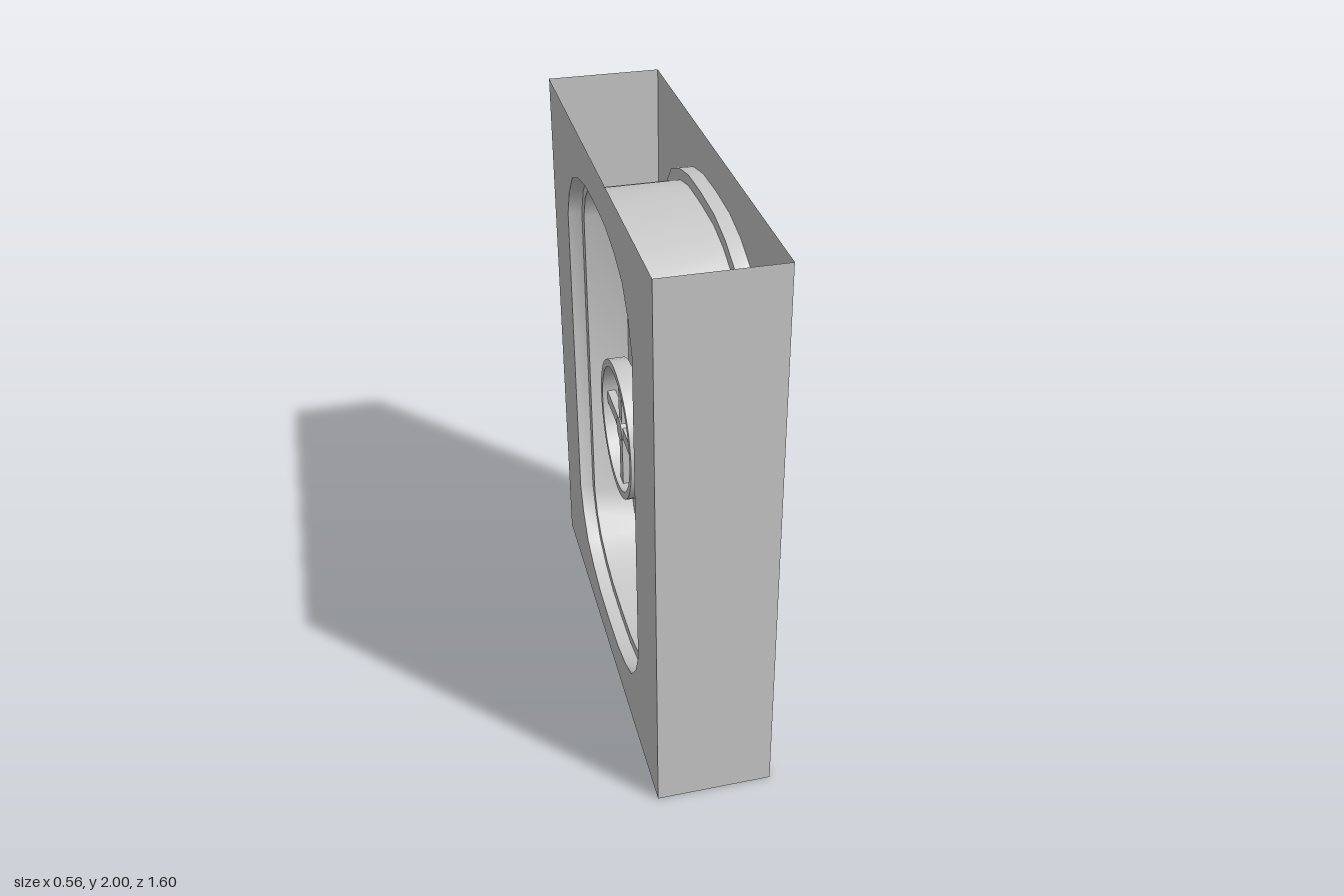
import * as THREE from 'three';
import { toCreasedNormals } from 'three/addons/utils/BufferGeometryUtils.js';

const solid = new THREE.MeshStandardMaterial({ color: 0xcccccc });
const sheet = new THREE.MeshStandardMaterial({ color: 0xcccccc, side: THREE.DoubleSide });

// Quarter outlines (half width, height above the middle), mirrored into closed loops
const OUTER = [[0.52, 0.6], [0.475, 0.7], [0.4, 0.785], [0.29, 0.832], [0.16, 0.86], [0, 0.866]];
const INNER = [[0.48, 0.6], [0.44, 0.69], [0.375, 0.752], [0.27, 0.797], [0.16, 0.822], [0, 0.827]];

function outline(quarter) {
  const half = [...quarter, ...quarter.slice(0, -1).reverse().map(([u, v]) => [-u, v])];
  return [...half, ...half.map(([u, v]) => [-u, -v])].map(([u, v]) => new THREE.Vector2(u, v + 1));
}

function add(parent, name, geometry, material = solid, x = 0, y = 0, z = 0) {
  const mesh = new THREE.Mesh(geometry, material);
  mesh.name = name;
  mesh.position.set(x, y, z);
  parent.add(mesh);
  return mesh;
}

// Surface joining successive [loop, depth] sections
function loft(sections) {
  const pos = [];
  for (let s = 0; s < sections.length - 1; s++) {
    const [a, za] = sections[s], [b, zb] = sections[s + 1];
    for (let i = 0; i < a.length; i++) {
      const j = (i + 1) % a.length;
      const p = [a[i].x, a[i].y, za], q = [a[j].x, a[j].y, za];
      const r = [b[j].x, b[j].y, zb], t = [b[i].x, b[i].y, zb];
      pos.push(...p, ...q, ...r, ...p, ...r, ...t);
    }
  }
  const g = new THREE.BufferGeometry();
  g.setAttribute('position', new THREE.Float32BufferAttribute(pos, 3));
  return toCreasedNormals(g, 0.6);
}

const disc = (radius, depth, sides = 24) =>
  new THREE.CylinderGeometry(radius, radius, depth, sides).rotateX(Math.PI / 2);

// Hand wheel standing out along +z from its mounting plate
function handWheel(name) {
  const wheel = new THREE.Group();
  wheel.name = name;
  add(wheel, 'mountingPlate', disc(0.07, 0.02), solid, 0, 0, 0.01);
  add(wheel, 'shaft', disc(0.024, 0.1, 16), solid, 0, 0, 0.06);
  add(wheel, 'hub', disc(0.042, 0.045, 12), solid, 0, 0, 0.118);
  const rim = new THREE.LatheGeometry(
    [[0.223, 0.09], [0.25, 0.09], [0.25, 0.153], [0.223, 0.153], [0.223, 0.09]]
      .map(([r, h]) => new THREE.Vector2(r, h)), 40).rotateX(Math.PI / 2);
  add(wheel, 'rim', toCreasedNormals(rim, 0.6), sheet);
  for (let i = 0; i < 4; i++) {
    const spoke = add(wheel, 'spoke', new THREE.BoxGeometry(0.2, 0.046, 0.03).translate(0.128, 0, 0.12));
    spoke.rotation.z = i * Math.PI / 2;
  }
  return wheel;
}

function hinge(y) {
  const group = new THREE.Group();
  group.name = 'hinge';
  group.position.set(0.5, y, 0.12);
  for (const side of [-1, 1]) {
    add(group, 'hingeLeaf', new THREE.BoxGeometry(0.105, 0.195, 0.02), solid, side * 0.0725, 0, 0.01);
  }
  add(group, 'hingePin', new THREE.CylinderGeometry(0.021, 0.021, 0.165, 16), solid, 0, 0, 0.014);
  return group;
}

export function createModel() {
  const model = new THREE.Group();
  model.name = 'bulkheadDoor';
  const body = new THREE.Group();
  body.name = 'body';
  body.rotation.y = Math.PI / 2; // local +z becomes the +x door side
  model.add(body);

  const outer = outline(OUTER), inner = outline(INNER);

  // Thin wall panels with door openings, open above and below
  const panel = new THREE.Shape([[-0.8, 0], [0.8, 0], [0.8, 2], [-0.8, 2]].map(p => new THREE.Vector2(...p)));
  panel.holes.push(new THREE.Path(outer));
  const panelGeometry = new THREE.ShapeGeometry(panel);
  add(body, 'outerWall', panelGeometry, sheet, 0, 0, 0.12);
  add(body, 'innerWall', panelGeometry, sheet, 0, 0, -0.28).rotation.y = Math.PI;
  for (const side of [-1, 1]) {
    add(body, 'endWall', new THREE.PlaneGeometry(0.4, 2), sheet, side * 0.8, 1, -0.08).rotation.y = side * Math.PI / 2;
  }

  // Stepped passage through the wall
  add(body, 'passage', loft([
    [outer, 0.12], [outer, 0.07], [inner, 0.07], [inner, -0.23], [outer, -0.23], [outer, -0.28],
  ]), sheet);

  // Door slab filling the passage
  const slab = new THREE.ExtrudeGeometry(
    new THREE.Shape(inner.map(p => new THREE.Vector2(p.x * 0.998, 1 + (p.y - 1) * 0.998))),
    { depth: 0.203, bevelEnabled: false });
  add(body, 'door', toCreasedNormals(slab, 0.6), solid, 0, 0, -0.08);

  // Hand wheel on both faces of the door
  const front = handWheel('outerHandWheel');
  front.position.set(0, 1, 0.122);
  const back = handWheel('innerHandWheel');
  back.position.set(0, 1, -0.08);
  back.rotation.y = Math.PI;
  body.add(front, back);

  for (const y of [0.511, 1.498]) body.add(hinge(y));
  return model;
}
